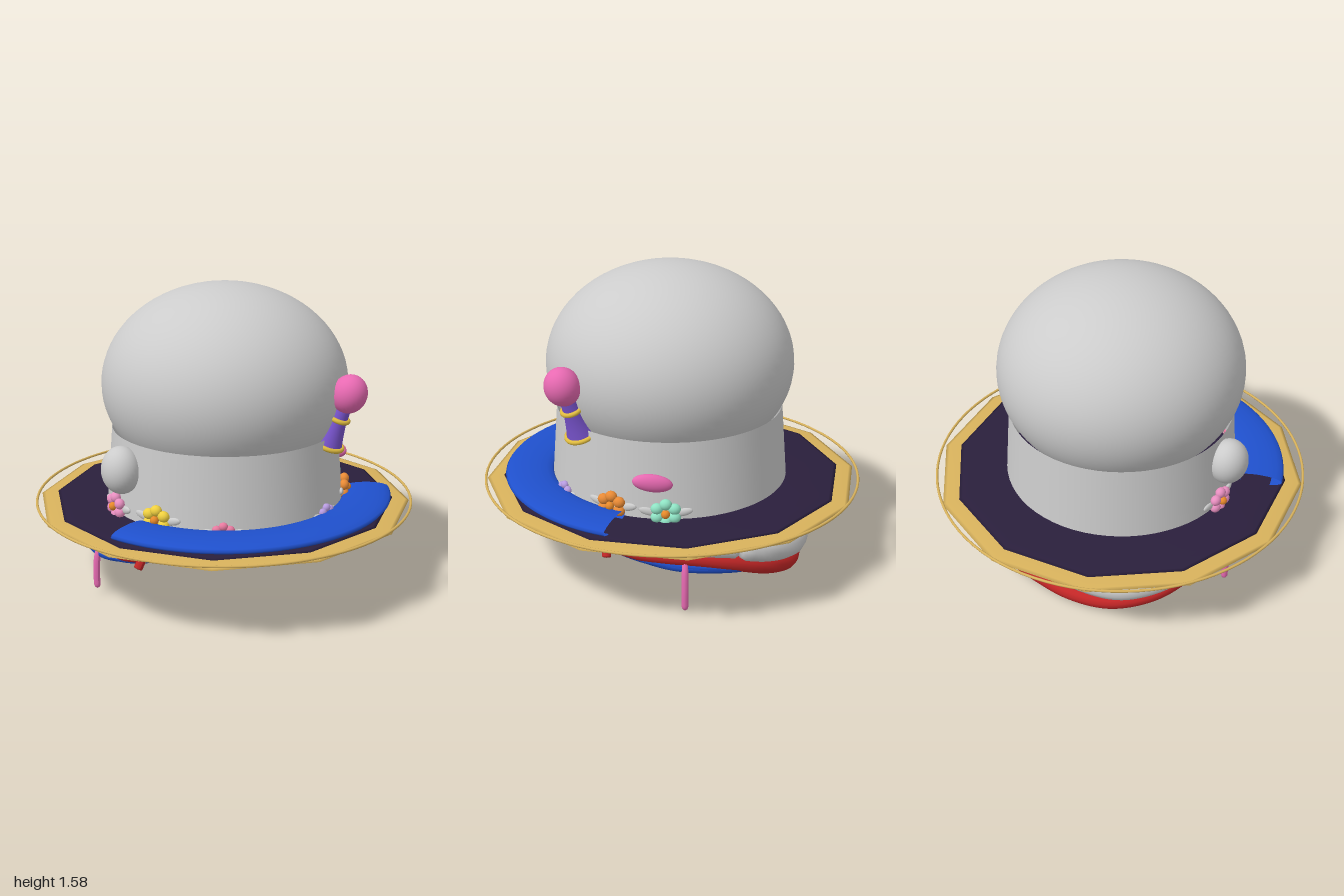
import * as THREE from 'three';

const GREY = 0xcccccc, GOLD = 0xd8b25c, RED = 0xc22626, BLUE = 0x1f50cc, PINK = 0xe86ab2;
const V = (x, y, z) => new THREE.Vector3(x, y, z);
const UP = V(0, 1, 0);

function add(parent, name, geometry, color, side = THREE.FrontSide) {
  const mesh = new THREE.Mesh(geometry, new THREE.MeshStandardMaterial({ color, side }));
  mesh.name = name;
  parent.add(mesh);
  return mesh;
}

function ellipsoid(parent, name, pos, radii, color, w = 32, h = 20) {
  const mesh = add(parent, name, new THREE.SphereGeometry(1, w, h), color);
  mesh.position.set(...pos);
  mesh.scale.set(...radii);
  return mesh;
}

// Tube along points whose radius follows width(t); the ends close to a point
function roll(parent, name, points, radius, color, width = () => 1, sides = 12, n = 60) {
  const curve = new THREE.CatmullRomCurve3(points.map((p) => V(...p)));
  const geo = new THREE.TubeGeometry(curve, n, radius, sides);
  const pos = geo.attributes.position, v = V();
  for (let i = 0; i <= n; i++) {
    const c = curve.getPointAt(i / n);
    const end = Math.min(i, n - i);
    const k = width(i / n) * (end === 0 ? 0.001 : end === 1 ? 0.8 : 1);
    for (let j = 0; j <= sides; j++) {
      const id = i * (sides + 1) + j;
      v.fromBufferAttribute(pos, id).sub(c).multiplyScalar(k).add(c);
      pos.setXYZ(id, v.x, v.y, v.z);
    }
  }
  geo.computeVertexNormals();
  return add(parent, name, geo, color);
}

// Full path from one half: left side, round the back, right side
const mirrored = (half) =>
  [...half, ...half.slice(0, -1).reverse().map(([x, y, z]) => [-x, y, z])];

// Five-petalled flower facing outward, at an angle from the front
function flower(parent, angle, color, centreColor, size, y) {
  const g = new THREE.Group();
  g.name = 'flower';
  for (let i = 0; i < 6; i++) {
    const a = (i / 6) * Math.PI * 2 + Math.PI / 2;
    ellipsoid(g, 'petal', [Math.cos(a) * 0.05, Math.sin(a) * 0.045, 0], [0.031, 0.028, 0.026], color, 14, 10);
  }
  ellipsoid(g, 'flowerCentre', [0, 0, 0.016], [0.022, 0.022, 0.022], centreColor, 12, 8);
  for (const s of [-1, 1]) {
    const leaf = ellipsoid(g, 'leaf', [s * 0.085, 0, -0.015], [0.05, 0.02, 0.012], GREY, 14, 8);
    leaf.rotation.z = s * 0.25;
  }
  g.position.set(Math.sin(angle) * 0.64, y, Math.cos(angle) * 0.64);
  g.rotation.y = angle;
  g.scale.setScalar(size);
  parent.add(g);
}

export function createModel() {
  const model = new THREE.Group();
  model.name = 'hat';

  // Crown
  ellipsoid(model, 'dome', [0, 1.06, 0.01], [0.64, 0.52, 0.643], GREY, 64, 40);
  const band = add(model, 'band', new THREE.CylinderGeometry(0.592, 0.626, 0.42, 64, 1, true), GREY, THREE.DoubleSide);
  band.position.set(0, 0.63, 0.012);

  // Brim: two flattened twelve-sided discs and a thin hoop
  ellipsoid(model, 'brimEdge', [0, 0.42, 0], [0.988, 0.025, 0.988], GOLD, 12, 16);
  ellipsoid(model, 'brimTop', [0, 0.434, 0], [0.9, 0.022, 0.9], 0x2a1f3c, 12, 16);
  const hoop = add(model, 'brimHoop', new THREE.TorusGeometry(0.993, 0.007, 8, 96), GOLD);
  hoop.rotation.x = Math.PI / 2;
  hoop.position.y = 0.445;

  // Visor: flattened arc over the front of the brim
  const arc = Math.PI * 0.715;
  const visorGeo = new THREE.TorusGeometry(0.76, 0.127, 16, 40, arc);
  visorGeo.rotateZ((Math.PI - arc) / 2);
  visorGeo.rotateX(Math.PI / 2);
  visorGeo.scale(1, 0.24, 1);
  add(model, 'visor', visorGeo, BLUE, THREE.DoubleSide).position.y = 0.468;

  // Flowers round the band
  const rad = Math.PI / 180;
  flower(model, 83 * rad, 0x8fe3c4, 0xe88a2a, 1, 0.49);
  flower(model, 58 * rad, 0xe88a35, 0xe88a2a, 1, 0.5);
  flower(model, 27 * rad, 0xb79be0, 0xf0d040, 0.75, 0.465);
  flower(model, -27 * rad, 0xe87aa0, 0xf0d040, 0.75, 0.465);
  flower(model, -58 * rad, 0xf0d040, 0xe88a2a, 1, 0.5);
  flower(model, -86 * rad, 0xe88fc0, 0xe88a2a, 1, 0.49);

  // Side ornaments
  const oval = ellipsoid(model, 'pinkOval', [0.61, 0.64, 0.14], [0.033, 0.045, 0.1], PINK);
  oval.rotation.x = -0.17;
  ellipsoid(model, 'sideKnob', [-0.63, 0.7, 0.11], [0.1, 0.122, 0.11], GREY);

  // Horn: tapered stem with gold rings and a ball
  const horn = new THREE.Group();
  horn.name = 'horn';
  horn.position.set(0.345, 0.795, 0.475);
  horn.quaternion.setFromUnitVectors(UP, V(0.05, 0.21, 0.065).normalize());
  const stem = [[0.078, 0], [0.062, 0.06], [0.048, 0.13], [0.04, 0.22]];
  add(horn, 'hornStem', new THREE.LatheGeometry(stem.map(([x, y]) => new THREE.Vector2(x, y)), 28), 0x7a55d0, THREE.DoubleSide);
  for (const [r, y] of [[0.077, 0.01], [0.049, 0.16]]) {
    const ring = add(horn, 'hornRing', new THREE.TorusGeometry(r, 0.012, 10, 32), 0xe0bc40);
    ring.rotation.x = Math.PI / 2;
    ring.position.y = y;
  }
  ellipsoid(horn, 'hornBall', [0, 0.3, 0], [0.09, 0.1, 0.09], PINK);
  model.add(horn);

  // Collar hanging under the back of the brim
  const collar = new THREE.Group();
  collar.name = 'collar';
  model.add(collar);
  roll(collar, 'greyRollBack', mirrored([
    [0.675, 0.315, -0.26], [0.63, 0.275, -0.42], [0.48, 0.225, -0.57], [0.25, 0.207, -0.64], [0, 0.203, -0.655],
  ]), 0.066, GREY);
  for (const s of [-1, 1]) {
    roll(collar, 'greyRollFront', [
      [s * 0.4, 0.39, 0.54], [s * 0.54, 0.375, 0.4], [s * 0.65, 0.35, 0.16], [s * 0.685, 0.335, -0.06], [s * 0.675, 0.315, -0.29],
    ], 0.06, GREY, (t) => Math.min(1, 0.1 + t * 1.8));
    // Strap ends and cords
    roll(collar, 'redStrap', [[s * 0.58, 0.41, 0.35], [s * 0.62, 0.34, 0.365], [s * 0.66, 0.27, 0.37]], 0.022, RED);
    roll(collar, 'pinkCord', [
      [s * 0.7, 0.28, -0.01], [s * 0.725, 0.22, -0.01], [s * 0.735, 0.12, -0.01], [s * 0.732, s > 0 ? 0 : 0.03, -0.01],
    ], 0.017, PINK, () => 1, 10, 24);
    roll(collar, 'blueStrand', [
      [s * 0.46, 0.385, 0.5], [s * 0.6, 0.3, 0.34], [s * 0.69, 0.25, 0.12], [s * 0.71, 0.225, -0.1], [s * 0.68, 0.2, -0.3],
    ], 0.02, BLUE);
  }
  roll(collar, 'redRoll', mirrored([
    [0.6, 0.32, 0.4], [0.665, 0.29, 0.22], [0.69, 0.275, 0], [0.68, 0.235, -0.24], [0.6, 0.165, -0.43],
    [0.42, 0.09, -0.57], [0.2, 0.06, -0.635], [0, 0.055, -0.645],
  ]), 0.043, RED, (t) => Math.min(1, 0.4 + 5 * Math.min(t, 1 - t)), 12, 100);
  roll(collar, 'bluePiping', mirrored([
    [0.5, 0.37, 0.47], [0.62, 0.29, 0.28], [0.7, 0.235, 0.05], [0.69, 0.205, -0.22], [0.6, 0.18, -0.42],
    [0.4, 0.135, -0.575], [0.2, 0.125, -0.625], [0, 0.122, -0.635],
  ]), 0.024, BLUE, () => 1, 10, 100);

  // Red lining between the rolls and the brim, with thin ribs
  const span = Math.PI * 0.72;
  const lining = new THREE.CylinderGeometry(0.615, 0.645, 1, 48, 1, true, Math.PI - span / 2, span);
  const p = lining.attributes.position;
  for (let i = 0; i < p.count; i++) {
    const z = p.getZ(i);
    p.setY(i, p.getY(i) > 0 ? 0.405 : 0.215 + 0.27 * Math.max(0, z + 0.645));
  }
  lining.computeVertexNormals();
  add(collar, 'lining', lining, RED, THREE.DoubleSide);
  for (let i = -4; i <= 4; i++) {
    const a = i * 0.27, sx = Math.sin(a), cz = -Math.cos(a);
    roll(collar, 'liningRib', [[sx * 0.62, 0.4, cz * 0.62], [sx * 0.645, 0.33, cz * 0.645], [sx * 0.66, 0.27, cz * 0.66]],
      0.01, i % 2 ? RED : 0xa01c1c, () => 1, 8, 10);
  }
  return model;
}
